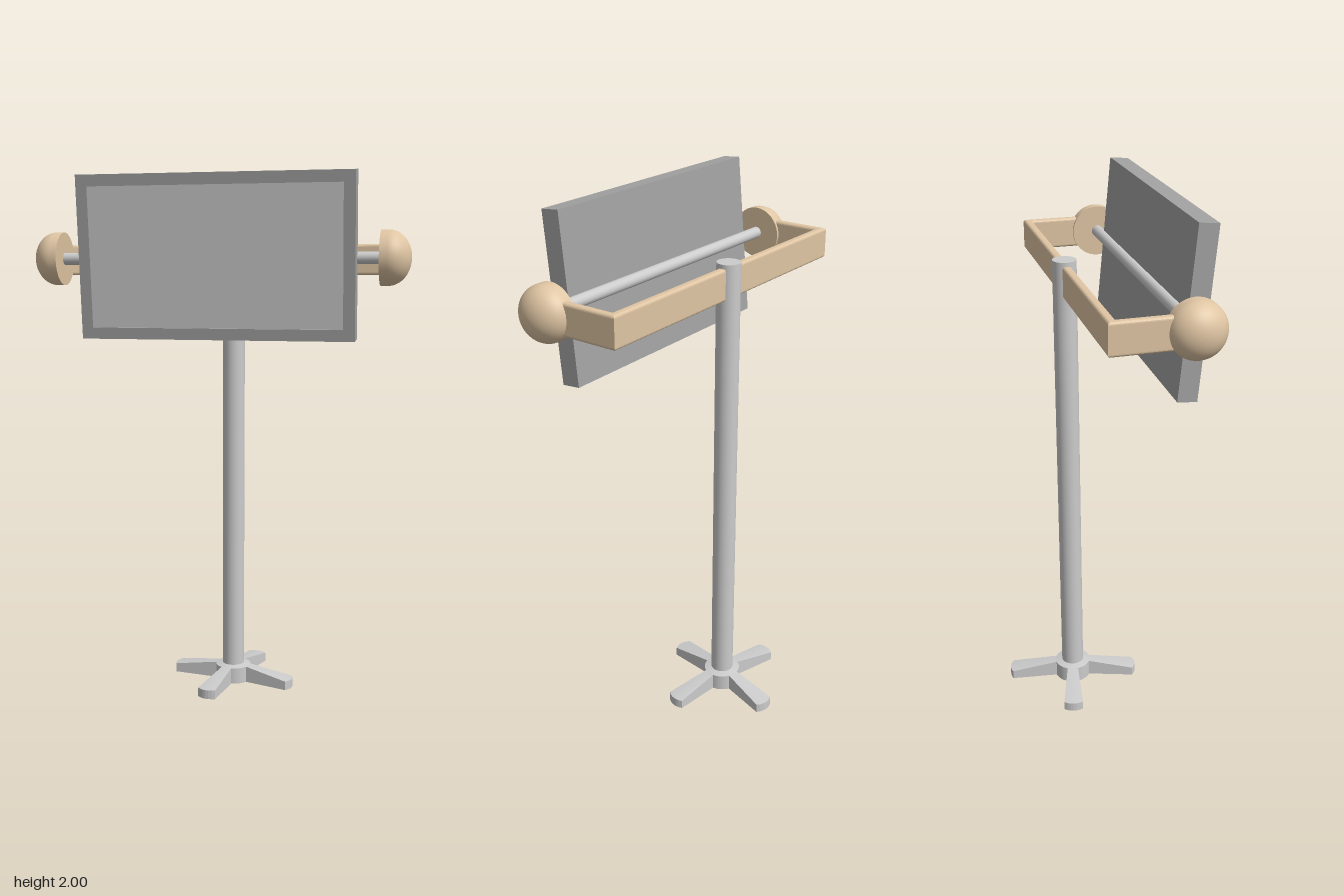
import * as THREE from 'three';

const grey = new THREE.MeshStandardMaterial({ color: 0xcccccc });
const darkGrey = new THREE.MeshStandardMaterial({ color: 0xa2a2a2 });
const tan = new THREE.MeshStandardMaterial({ color: 0xdfc5a3 });

function add(parent, name, geometry, material, x = 0, y = 0, z = 0) {
  const mesh = new THREE.Mesh(geometry, material);
  mesh.name = name;
  mesh.position.set(x, y, z);
  parent.add(mesh);
  return mesh;
}

// Lathe from [radius, height] pairs; each segment keeps its own normals
function lathe(points, segments = 40) {
  return new THREE.LatheGeometry(points.map(([r, h]) => new THREE.Vector2(r, h)), segments);
}

function polygon(points, Type = THREE.Shape) {
  return new Type(points.map(([x, y]) => new THREE.Vector2(x, y)));
}

function rectangle(w, h) {
  return [[-w / 2, -h / 2], [w / 2, -h / 2], [w / 2, h / 2], [-w / 2, h / 2]];
}

// Foot that widens and gets lower toward its rounded tip
function footGeometry() {
  const inner = 0.03, outer = 0.245;
  const g = new THREE.BoxGeometry(1, 1, 1, 1, 1, 6).toNonIndexed();
  const p = g.attributes.position;
  for (let i = 0; i < p.count; i++) {
    const t = p.getX(i) + 0.5, s = p.getZ(i) * 2;
    const x = THREE.MathUtils.lerp(inner, outer, t) + t * 0.012 * (1 - s * s);
    const halfWidth = THREE.MathUtils.lerp(0.018, 0.037, t);
    const top = THREE.MathUtils.lerp(0.07, 0.035, t);
    p.setXYZ(i, x, (p.getY(i) + 0.5) * top, s * halfWidth);
  }
  g.computeVertexNormals();
  return g;
}

// Four-footed base and the pole
function makeStand() {
  const stand = new THREE.Group();
  stand.name = 'stand';
  add(stand, 'pole', new THREE.CylinderGeometry(0.043, 0.043, 1.765, 32), grey, 0, 1.765 / 2);
  add(stand, 'hub', new THREE.CylinderGeometry(0.07, 0.07, 0.064, 32), grey, 0, 0.032);
  add(stand, 'hubCone', new THREE.CylinderGeometry(0.043, 0.07, 0.006, 32, 1, true), grey, 0, 0.067);
  const foot = footGeometry();
  for (let i = 0; i < 4; i++) {
    add(stand, 'foot', foot, grey).rotation.y = Math.PI / 4 + i * Math.PI / 2;
  }
  return stand;
}

// U-shaped bracket, end knobs and the cross rod
function makeHolder() {
  const holder = new THREE.Group();
  holder.name = 'holder';
  const bevel = 0.01, out = 0.631 - bevel, inn = 0.6 + bevel, back = -0.016 + bevel, front = 0.016 - bevel;
  const outline = polygon([[-out, back], [out, back], [out, 0.24], [inn, 0.24],
    [inn, front], [-inn, front], [-inn, 0.24], [-out, 0.24]]);
  const bracket = new THREE.ExtrudeGeometry(outline, {
    depth: 0.115 - 2 * bevel, bevelThickness: bevel, bevelSize: bevel, bevelSegments: 4,
  });
  bracket.rotateX(Math.PI / 2);
  add(holder, 'bracket', bracket, tan, 0, 1.75 - bevel, 0);

  const rod = new THREE.CylinderGeometry(0.022, 0.022, 1.2, 24).rotateZ(Math.PI / 2);
  add(holder, 'crossRod', rod, grey, 0, 1.695, 0.275);

  // Domed knob: short straight rim, then an elliptical cap
  const dome = [[0.098, 0]];
  for (let i = 0; i <= 14; i++) {
    const a = (i / 14) * Math.PI / 2;
    dome.push([i === 14 ? 0 : 0.098 * Math.cos(a), 0.028 + 0.08 * Math.sin(a)]);
  }
  for (const side of [-1, 1]) {
    const knob = new THREE.Group();
    knob.name = side > 0 ? 'leftKnob' : 'rightKnob';
    knob.position.set(side * 0.59, 1.695, 0.275);
    knob.rotation.z = -side * Math.PI / 2;
    add(knob, 'knobDome', lathe(dome), tan);
    add(knob, 'knobFace', new THREE.CircleGeometry(0.098, 40).rotateX(Math.PI / 2), tan);
    holder.add(knob);
  }
  return holder;
}

// Flat panel with a raised border around a shallow screen
function makePanel() {
  const panel = new THREE.Group();
  panel.name = 'panel';
  const w = 1.016, h = 0.596, border = 0.042;
  add(panel, 'casing', new THREE.BoxGeometry(w, h, 0.06), darkGrey, 0, 0, -0.005);
  const ring = polygon(rectangle(w, h));
  ring.holes.push(polygon(rectangle(w - 2 * border, h - 2 * border), THREE.Path));
  const bezel = new THREE.ExtrudeGeometry(ring, { depth: 0.01, bevelEnabled: false });
  add(panel, 'bezel', bezel, darkGrey, 0, 0, 0.025);
  add(panel, 'screen', new THREE.BoxGeometry(w - 2 * border, h - 2 * border, 0.004), grey, 0, 0, 0.025);
  panel.position.set(0, 1.7, 0.315);
  panel.rotation.x = THREE.MathUtils.degToRad(5.4);
  return panel;
}

export function createModel() {
  const model = new THREE.Group();
  model.name = 'panelOnStand';
  // Head is turned on the pole
  const head = new THREE.Group();
  head.name = 'head';
  head.rotation.y = THREE.MathUtils.degToRad(-32);
  head.add(makeHolder(), makePanel());
  model.add(makeStand(), head);
  for (const part of model.children) part.position.set(0.104, 0, -0.157);
  return model;
}
